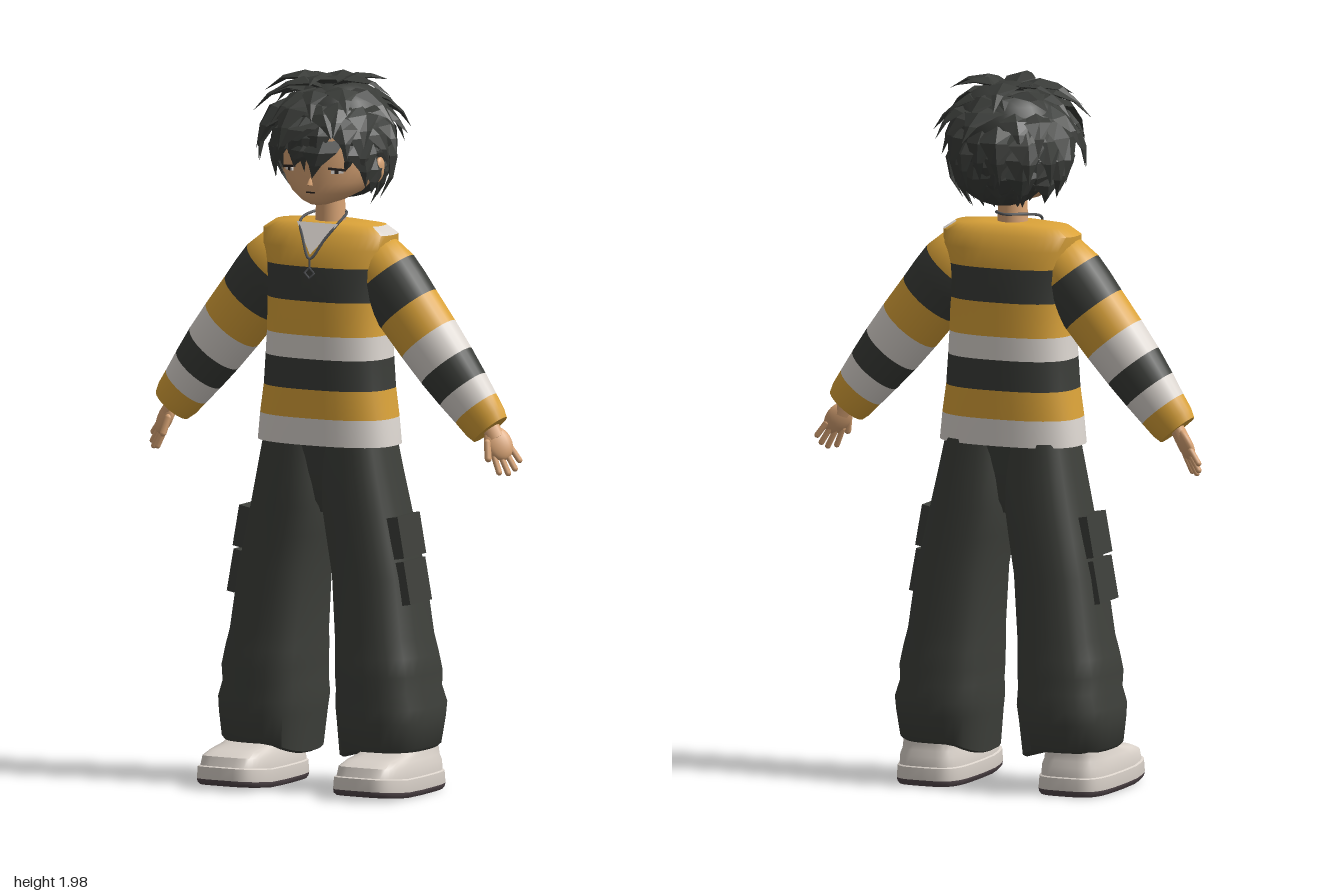
import * as THREE from 'three';
import { mergeGeometries, toCreasedNormals } from 'three/addons/utils/BufferGeometryUtils.js';

const paint = (name, color) => {
  const m = new THREE.MeshStandardMaterial({ color });
  m.name = name;
  return m;
};

// Closed solid from horizontal superellipse rings [y, cx, cz, rx, rz], listed bottom to top.
// mat is one material or a function (row, column); bend(x, y, z) returns a change in height.
function loft(name, rows, n, power, mat, bend) {
  const pos = [], index = [], mats = [], groups = [];
  const pw = v => Math.sign(v) * Math.abs(v) ** (2 / power);
  for (const [y, cx, cz, rx, rz] of rows)
    for (let j = 0; j < n; j++) {
      const a = j / n * Math.PI * 2;
      pos.push(cx + rx * pw(Math.cos(a)), y, cz + rz * pw(Math.sin(a)));
    }
  const last = rows.length - 1, low = pos.length / 3;
  for (const r of [rows[0], rows[last]]) pos.push(r[1], r[0], r[2]);
  const add = (m, ...ids) => {
    let k = mats.indexOf(m);
    if (k < 0) k = mats.push(m) - 1;
    const g = groups[groups.length - 1];
    if (g && g.k === k) g.count += ids.length;
    else groups.push({ k, start: index.length, count: ids.length });
    index.push(...ids);
  };
  const pick = typeof mat === 'function' ? mat : () => mat;
  for (let j = 0; j < n; j++) add(pick(0, j), low, j, (j + 1) % n);
  for (let i = 0; i < last; i++)
    for (let j = 0; j < n; j++) {
      const a = i * n + j, b = i * n + (j + 1) % n;
      add(pick(i, j), a, a + n, b, b, a + n, b + n);
    }
  for (let j = 0; j < n; j++) add(pick(last - 1, j), low + 1, last * n + (j + 1) % n, last * n + j);
  if (bend) for (let i = 0; i < pos.length; i += 3) pos[i + 1] += bend(pos[i], pos[i + 1], pos[i + 2]);
  let geo = new THREE.BufferGeometry();
  geo.setAttribute('position', new THREE.Float32BufferAttribute(pos, 3));
  geo.setIndex(index);
  geo = toCreasedNormals(geo, 0.8);
  if (mats.length > 1) groups.forEach(g => geo.addGroup(g.start, g.count, g.k));
  const mesh = new THREE.Mesh(geo, mats.length > 1 ? mats : mats[0]);
  mesh.name = name;
  return mesh;
}

export function createModel() {
  const model = new THREE.Group();
  model.name = 'boyInStripedSweater';
  const gold = paint('gold', 0xdba339), dark = paint('charcoal stripe', 0x3a3c38), white = paint('off white', 0xdcd6d0);
  const skin = paint('skin', 0xd9a475), hairMat = paint('hair', 0x383a37), cloth = paint('trousers', 0x3d3f3a);
  const shoeMat = paint('shoe', 0xd9d1c9), sole = paint('sole', 0x51464a), metal = paint('chain', 0x55575a);
  const ink = paint('face ink', 0x2a2320);

  const put = (parent, name, geo, mat, p = [0, 0, 0], r = [0, 0, 0], s = [1, 1, 1]) => {
    const m = new THREE.Mesh(geo, mat);
    m.name = name;
    m.position.set(...p); m.rotation.set(...r); m.scale.set(...s);
    parent.add(m);
    return m;
  };
  const box = (...d) => new THREE.BoxGeometry(...d);
  const ball = new THREE.SphereGeometry(1, 20, 14);

  // Sweater body: each ring pair is one stripe, with a pale patch on the left shoulder
  const bands = [white, gold, dark, white, gold, dark, gold, gold, gold, gold];
  model.add(loft('sweaterBody', [
    [0.96, 0, -0.008, 0.208, 0.118], [1.035, 0, -0.008, 0.2, 0.119], [1.115, 0, -0.008, 0.188, 0.119],
    [1.2, 0, -0.008, 0.182, 0.118], [1.265, 0, -0.008, 0.178, 0.117], [1.36, 0, -0.008, 0.176, 0.115],
    [1.455, 0, -0.01, 0.184, 0.112], [1.505, 0, -0.012, 0.196, 0.105], [1.545, 0, -0.015, 0.2, 0.088],
    [1.568, 0, -0.015, 0.165, 0.07], [1.574, 0, -0.015, 0.08, 0.055]], 40, 2.6,
    (i, j) => i === 8 && (j < 3 || j > 36) ? white : bands[i]));

  // V-shaped undershirt
  const vee = new THREE.BufferGeometry();
  vee.setAttribute('position', new THREE.Float32BufferAttribute(
    [-0.065, 1.574, 0.063, 0, 1.49, 0.107, 0.065, 1.574, 0.063], 3));
  vee.computeVertexNormals();
  put(model, 'undershirt', vee, white);

  // Necklace with a diamond pendant
  const chain = new THREE.CatmullRomCurve3([[0, 1.597, -0.06], [0.046, 1.595, -0.02], [0.06, 1.577, 0.05],
    [0.034, 1.532, 0.085], [0, 1.478, 0.108], [-0.034, 1.532, 0.085], [-0.06, 1.577, 0.05], [-0.046, 1.595, -0.02]]
    .map(p => new THREE.Vector3(...p)), true, 'centripetal');
  put(model, 'necklace', new THREE.TubeGeometry(chain, 60, 0.004, 5, true), metal);
  put(model, 'pendant', new THREE.TorusGeometry(0.015, 0.0035, 5, 4), metal, [0, 1.44, 0.11]);
  put(model, 'pendantLink', new THREE.CylinderGeometry(0.003, 0.003, 0.025, 5), metal, [0, 1.467, 0.109]);

  // Neck, head and face
  put(model, 'neck', new THREE.CylinderGeometry(0.038, 0.044, 0.13, 16), skin, [0, 1.61, -0.012]);
  model.add(loft('head', [
    [1.626, 0, 0.05, 0.025, 0.03], [1.638, 0, 0.03, 0.06, 0.065], [1.66, 0, 0.005, 0.098, 0.097],
    [1.69, 0, -0.01, 0.125, 0.114], [1.73, 0, -0.02, 0.14, 0.124], [1.8, 0, -0.025, 0.145, 0.128],
    [1.87, 0, -0.03, 0.125, 0.11], [1.92, 0, -0.03, 0.06, 0.06]], 32, 2, skin));
  put(model, 'nose', new THREE.ConeGeometry(0.01, 0.03, 4), skin, [0, 1.697, 0.104], [-0.3, 0, 0]);
  put(model, 'mouth', box(0.026, 0.004, 0.006), ink, [0, 1.663, 0.102]);
  for (const s of [1, -1]) {
    put(model, 'ear', ball, skin, [s * 0.143, 1.72, -0.025], [0, 0, s * -0.15], [0.014, 0.036, 0.024]);
    put(model, 'eyeLash', box(0.05, 0.006, 0.008), ink, [s * 0.075, 1.73, 0.087], [0, s * 0.52, s * -0.1]);
    put(model, 'eyeWhite', box(0.034, 0.009, 0.005), white, [s * 0.075, 1.723, 0.086], [0, s * 0.52, 0]);
    put(model, 'iris', box(0.012, 0.01, 0.007), ink, [s * 0.073, 1.723, 0.087], [0, s * 0.52, 0]);
  }

  // Hair: a scalp cap under rings of broad, pointed locks that spread from the crown
  put(model, 'scalp', ball, hairMat, [0, 1.82, -0.05], [0, 0, 0], [0.163, 0.148, 0.146]);
  put(model, 'napeHair', ball, hairMat, [0, 1.735, -0.09], [0, 0, 0], [0.138, 0.108, 0.085]);
  let seed = 7;
  const rand = () => (seed = (seed * 16807) % 2147483647) / 2147483647;
  const lock = (t0, t1, phi, twist, r1, w) => {
    const geo = new THREE.ConeGeometry(w, 1, 4, 3, true), p = geo.attributes.position;
    for (let i = 0; i < p.count; i++) {
      const t = p.getY(i) + 0.5, th = t0 + (t1 - t0) * t, ph = phi + twist * t;
      const r = 0.142 + (r1 - 0.142) * t ** 0.7 + p.getZ(i) * 0.4;
      const side = -p.getX(i) * (t < 0.4 && t > 0.2 ? 1.35 : 1);
      p.setXYZ(i, r * Math.sin(th) * Math.sin(ph) + side * Math.cos(ph) - 0.012, 1.805 + 0.95 * r * Math.cos(th),
        -0.035 + r * Math.sin(th) * Math.cos(ph) - side * Math.sin(ph));
    }
    const flat = geo.toNonIndexed();
    flat.computeVertexNormals();
    return flat;
  };
  const locks = [];
  for (const [t0, count, lift] of [[0.05, 7, 0.025], [0.35, 10, 0.015], [0.75, 13, 0.01], [1.1, 16, 0.008],
    [1.45, 17, 0.004], [1.8, 16, 0], [2.05, 14, 0]])
    for (let k = 0; k < count; k++) {
      const phi = (k + rand() * 0.7) / count * Math.PI * 2, f = Math.cos(phi);
      const limit = 2.36 - (f > 0 ? 0.45 * f : 0.18 * f) + rand() * 0.22;
      const start = t0 + rand() * 0.15;
      if (start > limit - 0.35) continue;
      locks.push(lock(start, Math.min(start + 0.6 + rand() * 0.4, limit), phi, (rand() - 0.5) * 0.5,
        0.178 + lift + rand() * 0.05, 0.042 + rand() * 0.018));
    }
  for (const [phi, end] of [[0.0, 2.1], [-0.25, 2.0], [0.3, 1.95], [-0.95, 2.25], [0.95, 2.25]])
    locks.push(lock(1.2, end, phi, -phi * 0.2, 0.175, 0.04));
  put(model, 'hairLocks', mergeGeometries(locks), hairMat);

  // Hips joining the trouser legs
  model.add(loft('trouserSeat', [
    [0.765, 0, -0.015, 0.05, 0.05], [0.8, 0, -0.014, 0.12, 0.07], [0.88, 0, -0.01, 0.18, 0.085],
    [0.98, 0, -0.01, 0.182, 0.1]], 32, 2.4, cloth));

  for (const s of [1, -1]) {
    // Sleeve and hand, built hanging down and then swung outwards
    const arm = new THREE.Group();
    arm.name = s > 0 ? 'leftArm' : 'rightArm';
    arm.position.set(s * 0.19, 1.41, -0.012);
    arm.rotation.z = s * 0.675;
    model.add(arm);
    const sleeve = [gold, gold, white, dark, white, gold, dark, dark, gold, gold];
    arm.add(loft('sleeve', [
      [-0.495, 0, -0.004, 0.06, 0.043], [-0.47, 0, -0.004, 0.068, 0.049], [-0.425, 0, -0.004, 0.073, 0.055],
      [-0.36, 0, -0.002, 0.081, 0.063], [-0.28, 0, 0, 0.089, 0.07], [-0.19, 0, 0, 0.094, 0.075],
      [-0.09, 0, 0, 0.097, 0.078], [-0.03, 0, 0, 0.1, 0.079], [0.025, 0, 0, 0.1, 0.078],
      [0.09, 0, 0, 0.084, 0.07], [0.125, 0, 0, 0.04, 0.04]], 24, 2,
      (i, j) => s > 0 && i === 9 && (j < 4 || j > 19) ? white : sleeve[i]));
    const hand = new THREE.Group();
    hand.name = 'hand';
    hand.position.set(s * 0.004, -0.485, -0.008);
    hand.rotation.set(0, s * 0.75, s * -0.16, 'ZYX');
    arm.add(hand);
    put(hand, 'wrist', new THREE.CylinderGeometry(0.024, 0.026, 0.06, 12), skin, [0, -0.01, 0], [0, 0, 0], [1, 1, 0.75]);
    put(hand, 'palm', ball, skin, [0, -0.055, 0], [0, 0, 0], [0.038, 0.05, 0.017]);
    [0.05, 0.058, 0.054, 0.042].forEach((len, k) => {
      const u = k - 1.5;
      put(hand, 'finger', new THREE.CapsuleGeometry(0.0085, len, 4, 8), skin,
        [s * u * 0.02, -0.085 - len / 2 + Math.abs(u) * 0.004, -0.003], [0, 0, s * u * 0.1]);
    });
    put(hand, 'thumb', new THREE.CapsuleGeometry(0.01, 0.045, 4, 8), skin, [-s * 0.038, -0.062, 0.006], [0, 0, -s * 0.4]);

    // Baggy trouser leg with folds near a hem that dips on the inside
    model.add(loft(s > 0 ? 'leftTrouserLeg' : 'rightTrouserLeg', [
      [0.12, 0.185, -0.016, 0.118, 0.13], [0.13, 0.185, -0.018, 0.128, 0.138], [0.2, 0.185, -0.022, 0.136, 0.15],
      [0.24, 0.184, -0.024, 0.14, 0.153], [0.285, 0.178, -0.022, 0.132, 0.147], [0.33, 0.178, -0.02, 0.134, 0.148],
      [0.38, 0.172, -0.02, 0.13, 0.142], [0.43, 0.165, -0.02, 0.124, 0.136], [0.6, 0.147, -0.02, 0.118, 0.126],
      [0.7, 0.127, -0.018, 0.116, 0.12], [0.78, 0.112, -0.016, 0.114, 0.117], [0.88, 0.101, -0.012, 0.103, 0.112],
      [0.97, 0.093, -0.01, 0.092, 0.106]].map(r => [r[0], s * r[1], ...r.slice(2)]), 28, 2.7, cloth,
      (x, y) => y < 0.15 ? -0.035 * Math.max(0, 1 - (Math.abs(x) - 0.06) / 0.07) : 0));

    // Cargo pocket: a flap above a pouch, with a gap between them
    const pocket = new THREE.Group();
    pocket.name = 'cargoPocket';
    pocket.position.set(s * 0.25, 0.647, -0.005);
    pocket.rotation.z = s * 0.18;
    model.add(pocket);
    put(pocket, 'pocketFlap', box(0.036, 0.116, 0.127), cloth, [s * 0.003, 0.065, 0]);
    put(pocket, 'pocketPouch', box(0.03, 0.12, 0.124), cloth, [s * 0.002, -0.062, 0]);

    // Chunky shoe with a raised toe and a dark outsole
    model.add(loft(s > 0 ? 'leftShoe' : 'rightShoe', [
      [0, 0, 0.04, 0.097, 0.188], [0.006, 0, 0.042, 0.102, 0.192], [0.016, 0, 0.042, 0.104, 0.193],
      [0.05, 0, 0.042, 0.102, 0.19], [0.053, 0, 0.04, 0.097, 0.184], [0.08, 0, 0.036, 0.095, 0.178],
      [0.097, 0, 0.02, 0.088, 0.155], [0.112, 0, -0.015, 0.083, 0.118], [0.14, 0, -0.035, 0.076, 0.095]]
      .map(r => [r[0], s * 0.214, ...r.slice(2)]), 40, 4, i => i < 2 ? sole : shoeMat,
      (x, y, z) => Math.max(0, z - 0.1) * 0.1));
  }
  return model;
}
